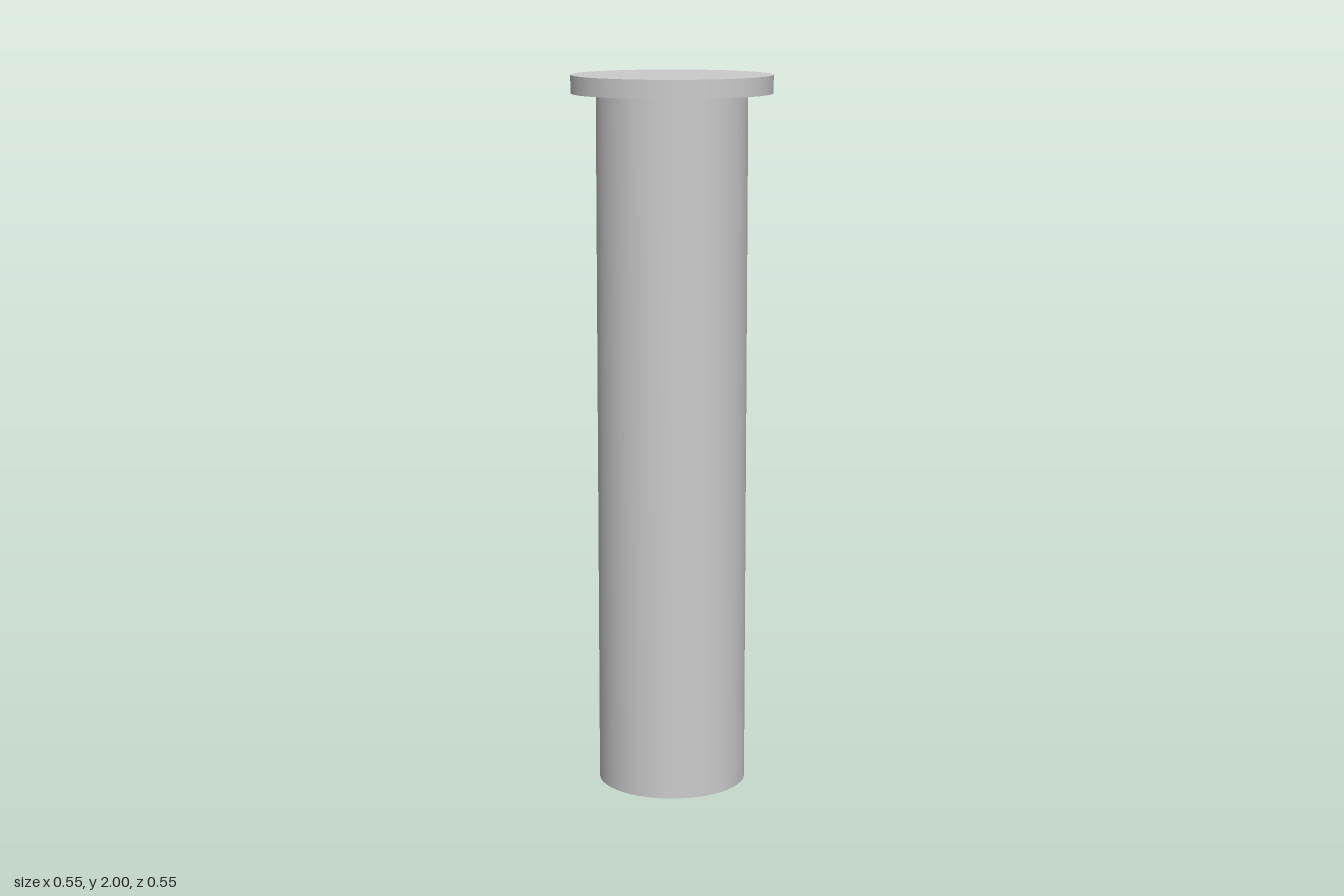
import * as THREE from 'three';
import { toCreasedNormals } from 'three/addons/utils/BufferGeometryUtils.js';

const SEGMENTS = 48;
const TUBE_RADIUS = 0.208;
const BORE_RADIUS = 0.135;
const CAP_RADIUS = 0.277;
const CAP_BOTTOM = 1.95;
const HEIGHT = 2;

export function createModel() {
  const group = new THREE.Group();
  group.name = 'cappedSleeve';
  const material = new THREE.MeshStandardMaterial({ color: 0xcccccc });

  // Hollow shaft, open at the bottom: bore wall, bottom rim, outer wall
  const profile = [
    [BORE_RADIUS, CAP_BOTTOM],
    [BORE_RADIUS, 0],
    [TUBE_RADIUS, 0],
    [TUBE_RADIUS, CAP_BOTTOM],
  ].map(([x, y]) => new THREE.Vector2(x, y));
  const shaft = new THREE.Mesh(
    toCreasedNormals(new THREE.LatheGeometry(profile, SEGMENTS), 0.6),
    material
  );
  shaft.name = 'shaft';
  group.add(shaft);

  // Flat disc closing the top
  const thickness = HEIGHT - CAP_BOTTOM;
  const cap = new THREE.Mesh(
    new THREE.CylinderGeometry(CAP_RADIUS, CAP_RADIUS, thickness, SEGMENTS),
    material
  );
  cap.name = 'cap';
  cap.position.y = CAP_BOTTOM + thickness / 2;
  group.add(cap);

  return group;
}
